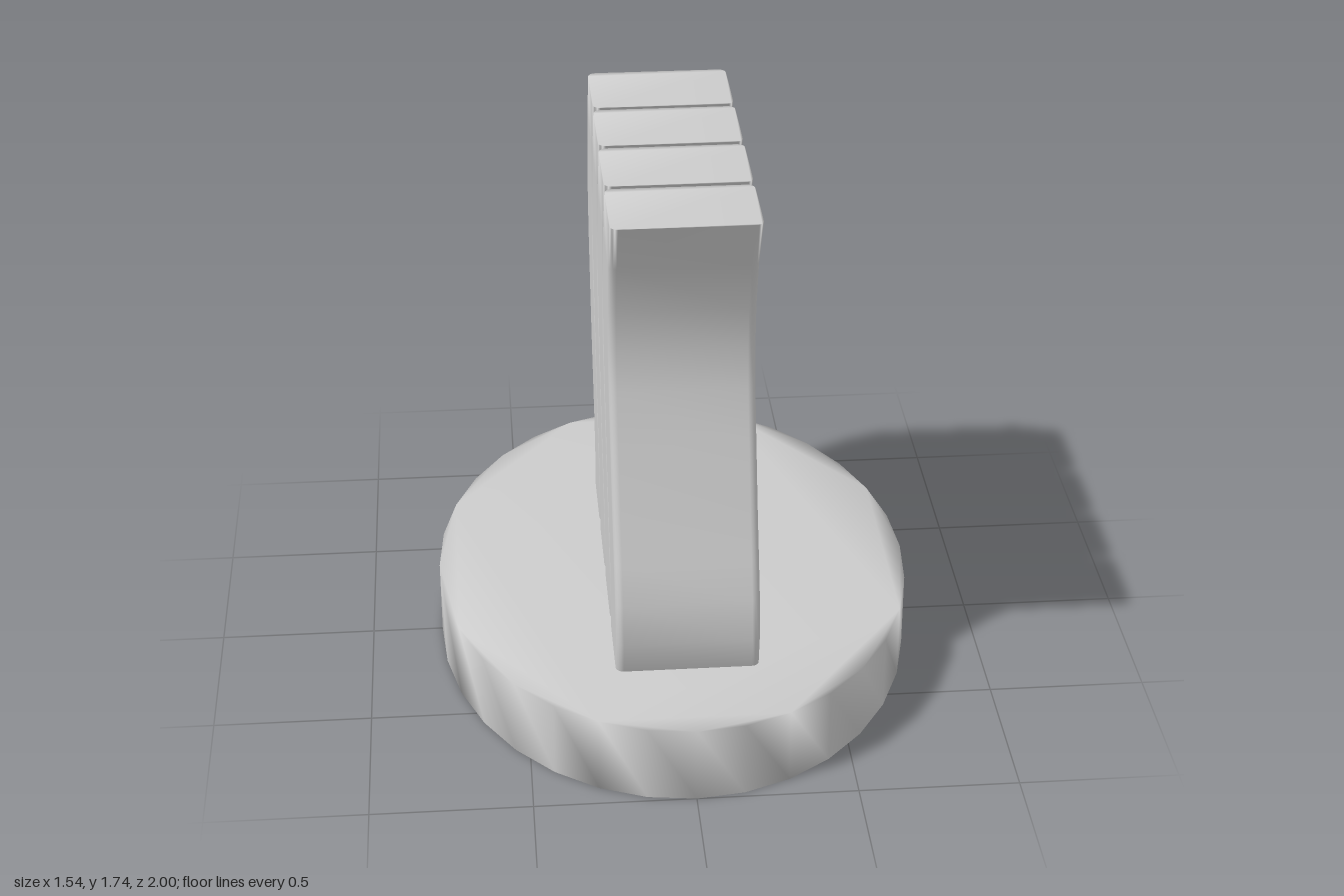
import * as THREE from 'three';
import { mergeVertices } from 'three/addons/utils/BufferGeometryUtils.js';

const material = new THREE.MeshStandardMaterial({ color: 0xcccccc });

// Rows of the wavy slat: height, z of the front edge, thickness
const ROWS = [
  [0.20, 0.645, 0.28], [0.25, 0.665, 0.28], [0.36, 0.685, 0.28], [0.49, 0.665, 0.285],
  [0.61, 0.62, 0.29], [0.75, 0.565, 0.293], [0.96, 0.495, 0.287], [1.12, 0.445, 0.28],
  [1.25, 0.428, 0.276], [1.39, 0.438, 0.276], [1.56, 0.49, 0.28], [1.74, 0.595, 0.283],
];

// Weld all corners so the shading runs smoothly over the edges
function smooth(geometry) {
  geometry.deleteAttribute('normal');
  geometry.deleteAttribute('uv');
  const welded = mergeVertices(geometry, 1e-4);
  welded.computeVertexNormals();
  return welded;
}

function roundedRect(halfWidth, depth, r) {
  const s = new THREE.Shape();
  s.absarc(halfWidth - r, r, r, -Math.PI / 2, 0);
  s.absarc(halfWidth - r, depth - r, r, 0, Math.PI / 2);
  s.absarc(-halfWidth + r, depth - r, r, Math.PI / 2, Math.PI);
  s.absarc(-halfWidth + r, r, r, Math.PI, Math.PI * 1.5);
  s.closePath();
  return s;
}

// Extrude a rounded rectangle upward, then bend each row onto the wave
function slatGeometry(extra) {
  const depth = 0.28;
  const steps = ROWS.length - 1;
  const g = new THREE.ExtrudeGeometry(roundedRect(0.225, depth, 0.025), {
    depth: steps, steps, bevelEnabled: false, curveSegments: 2,
  });
  g.rotateX(-Math.PI / 2);
  const p = g.attributes.position;
  for (let i = 0; i < p.count; i++) {
    const [y, front, thick] = ROWS[Math.round(p.getY(i))];
    const across = -p.getZ(i) / depth;
    p.setXYZ(i, p.getX(i), y, front - across * (thick + extra));
  }
  return smooth(g);
}

export function createModel() {
  const model = new THREE.Group();
  model.name = 'wavySlatStand';

  // Oval base
  const oval = new THREE.Shape();
  oval.absellipse(0, 0, 0.77, 1, 0, Math.PI * 2);
  const baseGeometry = new THREE.ExtrudeGeometry(oval, {
    depth: 0.25, bevelEnabled: false, curveSegments: 16,
  });
  baseGeometry.rotateX(-Math.PI / 2);
  const base = new THREE.Mesh(smooth(baseGeometry), material);
  base.name = 'base';
  model.add(base);

  // Four wavy slats one behind the other, the last slightly thicker
  for (let i = 0; i < 4; i++) {
    const slat = new THREE.Mesh(slatGeometry(i === 3 ? 0.008 : 0), material);
    slat.name = `slat${i + 1}`;
    slat.position.z = -0.3 * i;
    model.add(slat);
  }
  return model;
}
